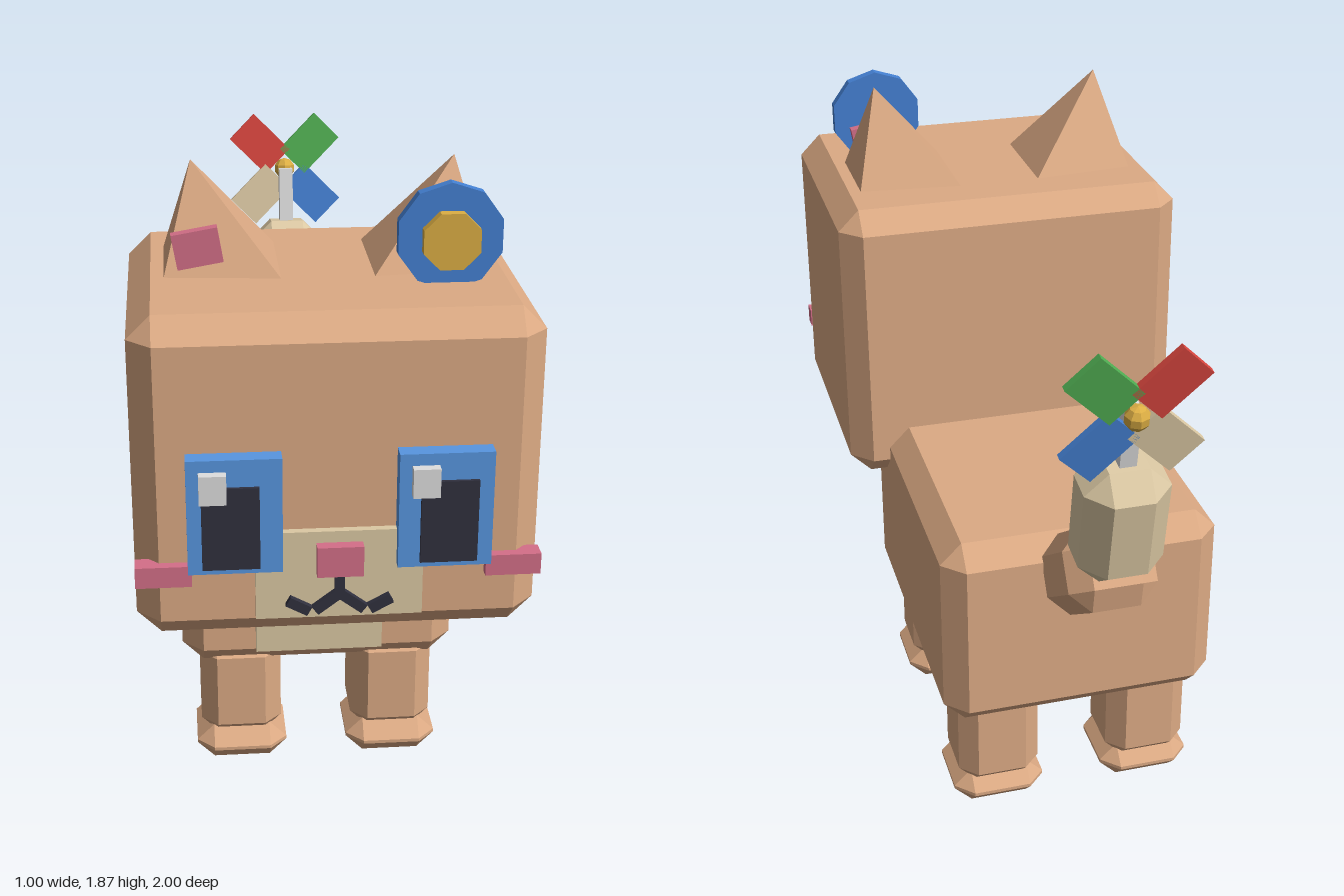
import * as THREE from 'three';
import { ConvexGeometry } from 'three/addons/geometries/ConvexGeometry.js';

const mat = (name, color) => {
  const m = new THREE.MeshStandardMaterial({ color });
  m.name = name;
  return m;
};

// Box with every edge and corner cut flat
function chamferBox(w, h, d, c) {
  const pts = [];
  for (const sx of [-1, 1]) for (const sy of [-1, 1]) for (const sz of [-1, 1]) {
    const x = w / 2, y = h / 2, z = d / 2;
    pts.push(
      new THREE.Vector3(sx * x, sy * (y - c), sz * (z - c)),
      new THREE.Vector3(sx * (x - c), sy * y, sz * (z - c)),
      new THREE.Vector3(sx * (x - c), sy * (y - c), sz * z));
  }
  return new ConvexGeometry(pts);
}

// Faceted normals for round shapes
function faceted(geometry) {
  const g = geometry.toNonIndexed();
  g.computeVertexNormals();
  return g;
}

export function createModel() {
  const fur = mat('fur', 0xdcaa84);
  const cream = mat('cream', 0xdcc9a4);
  const pink = mat('pink', 0xd46f88);
  const eyeBlue = mat('eyeBlue', 0x5896e0);
  const dark = mat('dark', 0x30303e);
  const white = mat('white', 0xdedede);
  const blue = mat('blue', 0x4480d2);
  const gold = mat('gold', 0xdcae44);
  const red = mat('red', 0xd8463e);
  const green = mat('green', 0x50ae52);

  const model = new THREE.Group();
  model.name = 'cat';

  const add = (name, geometry, material, x, y, z, parent = model) => {
    const mesh = new THREE.Mesh(geometry, material);
    mesh.name = name;
    mesh.position.set(x, y, z);
    parent.add(mesh);
    return mesh;
  };
  // Plain box given by its limits
  const block = (name, material, x0, x1, y0, y1, z0, z1) =>
    add(name, new THREE.BoxGeometry(x1 - x0, y1 - y0, z1 - z0), material,
      (x0 + x1) / 2, (y0 + y1) / 2, (z0 + z1) / 2);

  // Head, body and belly
  add('head', chamferBox(1, 0.84, 0.8, 0.06), fur, 0, 1.18, 0.53);
  add('body', chamferBox(0.78, 0.58, 0.965, 0.06), fur, 0, 0.63, -0.117);
  block('belly', cream, -0.18, 0.18, 0.41, 0.84, 0.34, 0.4);

  // Legs and paws
  for (const s of [-1, 1]) for (const [end, z] of [['front', 0.207], ['back', -0.42]]) {
    add(end + 'Leg', chamferBox(0.236, 0.32, 0.24, 0.048), fur, s * 0.222, 0.235, z);
    add(end + 'Paw', chamferBox(0.265, 0.11, 0.268, 0.05), fur, s * 0.222, 0.055, z + 0.011);
  }

  for (const s of [-1, 1]) {
    // Ear: leaning pyramid with a pink pad
    const corners = [[0.408, 1.595, 0.33], [0.113, 1.595, 0.3], [0.113, 1.595, 0.625],
      [0.408, 1.595, 0.595], [0.332, 1.865, 0.463]];
    add('ear', new ConvexGeometry(corners.map(([x, y, z]) => new THREE.Vector3(s * x, y, z))),
      fur, 0, 0, 0);
    const pad = add('innerEar', new THREE.BoxGeometry(0.116, 0.09, 0.03), pink, s * 0.322, 1.672, 0.58);
    pad.rotation.z = -s * 0.17;

    // Eye and cheek
    const a = s < 0 ? -0.37 : 0.14, p = s < 0 ? -0.335 : 0.193, h = s < 0 ? -0.34 : 0.17;
    block('eye', eyeBlue, a, a + 0.23, 0.97, 1.27, 0.91, 0.975);
    block('pupil', dark, p, p + 0.14, 0.985, 1.2, 0.96, 0.984);
    block('eyeHighlight', white, h, h + 0.066, 1.165, 1.24, 0.965, 1);
    add('cheek', new THREE.BoxGeometry(0.138, 0.055, 0.05), pink, s * 0.43, 0.955, 0.93);
  }

  // Muzzle, nose and mouth
  block('muzzle', cream, -0.206, 0.206, 0.828, 1.062, 0.91, 0.95);
  block('nose', pink, -0.057, 0.057, 0.952, 1.032, 0.93, 0.98);
  block('mouthStem', dark, -0.012, 0.012, 0.89, 0.955, 0.94, 0.966);
  for (const s of [-1, 1]) {
    const inner = add('mouthInner', new THREE.BoxGeometry(0.075, 0.026, 0.026), dark, s * 0.031, 0.875, 0.953);
    inner.rotation.z = -s * 0.65;
    const outer = add('mouthOuter', new THREE.BoxGeometry(0.06, 0.026, 0.026), dark, s * 0.101, 0.866, 0.953);
    outer.rotation.z = s * 0.5;
  }

  // Rosette by the ear
  const rosette = add('rosette', faceted(new THREE.CylinderGeometry(0.135, 0.135, 0.032, 10)), blue, 0.293, 1.715, 0.67);
  rosette.rotation.x = Math.PI / 2;
  const centre = add('rosetteCentre', faceted(new THREE.CylinderGeometry(0.076, 0.076, 0.03, 8)), gold, 0.293, 1.71, 0.699);
  centre.rotation.set(Math.PI / 2, Math.PI / 8, 0);

  // Tail
  add('tailBase', chamferBox(0.24, 0.345, 0.22, 0.055), fur, 0, 0.888, -0.705).rotation.x = -0.96;
  add('tailTip', chamferBox(0.225, 0.35, 0.205, 0.06), cream, 0, 1.143, -0.859).rotation.x = -0.175;

  // Pinwheel held by the tail
  const stick = add('pinwheelStick', new THREE.BoxGeometry(0.044, 0.24, 0.05), white, 0, 1.365, -0.899);
  stick.rotation.x = -0.175;
  const wheel = new THREE.Group();
  wheel.name = 'pinwheel';
  wheel.position.set(0, 1.475, -0.952);
  wheel.rotation.x = -0.175;
  model.add(wheel);
  [green, red, cream, blue].forEach((m, i) => {
    const t = Math.PI / 4 + i * Math.PI / 2;
    const blade = add('blade', new THREE.BoxGeometry(0.165, 0.115, 0.02), m,
      Math.cos(t) * 0.117, Math.sin(t) * 0.117, 0, wheel);
    blade.rotation.z = t;
  });
  add('hub', faceted(new THREE.SphereGeometry(0.034, 8, 5)), gold, 0, 0, -0.014, wheel);

  return model;
}
